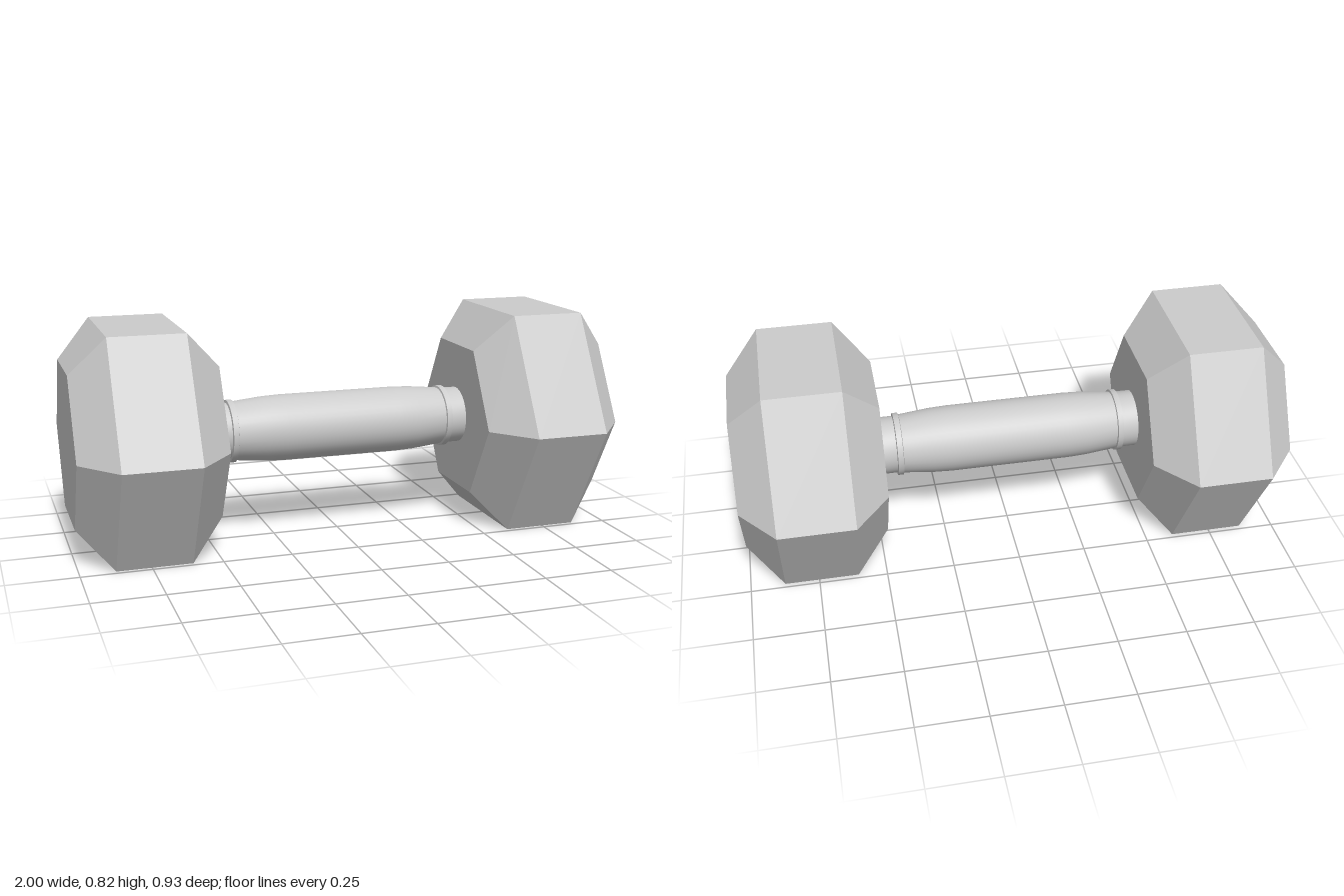
import * as THREE from 'three';
import { toCreasedNormals } from 'three/addons/utils/BufferGeometryUtils.js';

const AXIS_Y = 0.408;

// Revolve a [radius, x] profile around the x axis (x ascending).
function latheAlongX(profile, segments) {
  const points = profile.map(([r, x]) => new THREE.Vector2(r, x));
  return new THREE.LatheGeometry(points, segments).rotateZ(-Math.PI / 2);
}

export function createModel() {
  const group = new THREE.Group();
  group.name = 'dumbbell';

  // Hexagonal heads with bevelled ends, resting on a flat side
  const headMaterial = new THREE.MeshStandardMaterial({ color: 0xcccccc, flatShading: true });
  const headGeometry = latheAlongX([
    [0, -0.26], [0.314, -0.26], [0.471, -0.135],
    [0.471, 0.135], [0.314, 0.26], [0, 0.26],
  ], 6).scale(1, 1, 0.987);
  for (const side of [1, -1]) {
    const head = new THREE.Mesh(headGeometry, headMaterial);
    head.name = side > 0 ? 'leftHead' : 'rightHead';
    head.position.set(side * 0.74, AXIS_Y, 0);
    group.add(head);
  }

  // Grip: swollen middle, slim ends, raised collar near each head
  const half = [
    [0.122, 0.22], [0.119, 0.29], [0.108, 0.4],
    [0.115, 0.402], [0.115, 0.422], [0.105, 0.424], [0.105, 0.5],
  ];
  const mirrored = half.map(([r, x]) => [r, -x]).reverse();
  const gripGeometry = toCreasedNormals(latheAlongX([...mirrored, ...half], 40), 0.5);
  const grip = new THREE.Mesh(gripGeometry, new THREE.MeshStandardMaterial({ color: 0xcccccc }));
  grip.name = 'grip';
  grip.position.y = AXIS_Y;
  group.add(grip);

  return group;
}
